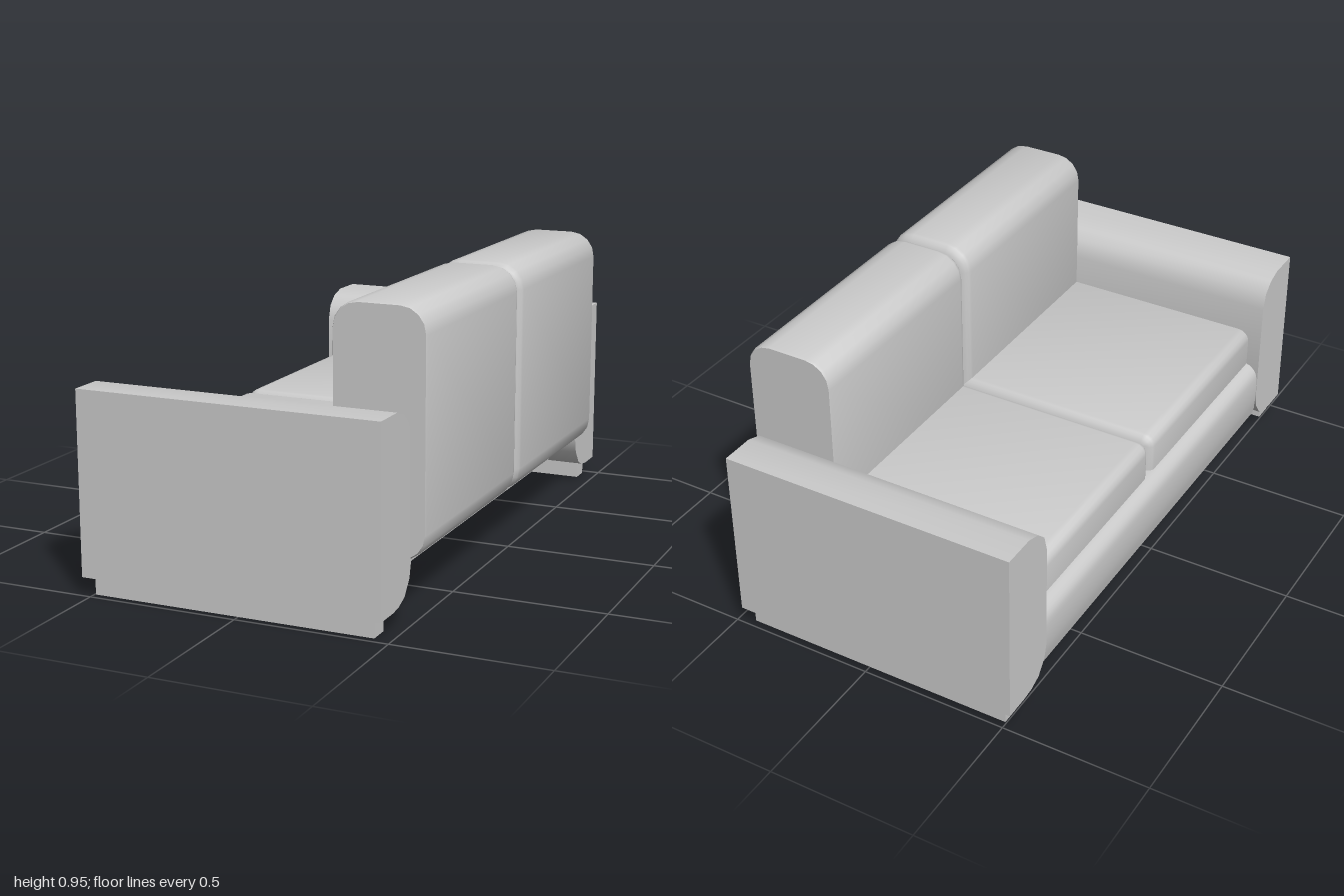
import * as THREE from 'three';
import { toCreasedNormals } from 'three/addons/utils/BufferGeometryUtils.js';

const grey = new THREE.MeshStandardMaterial({ color: 0xcccccc });
const sheet = new THREE.MeshStandardMaterial({ color: 0xcccccc, side: THREE.DoubleSide });

function addMesh(parent, name, geometry, material = grey) {
  const mesh = new THREE.Mesh(geometry, material);
  mesh.name = name;
  parent.add(mesh);
  return mesh;
}

// Counter-clockwise rounded rectangle, pulled inwards by inset
function roundedRect(b, inset, steps = 4) {
  const r = Math.max(b.r - inset, 0.012);
  const x0 = b.x0 + inset + r, x1 = b.x1 - inset - r;
  const y0 = b.y0 + inset + r, y1 = b.y1 - inset - r;
  const points = [];
  [[x1, y0], [x1, y1], [x0, y1], [x0, y0]].forEach(([cx, cy], k) => {
    for (let i = 0; i <= steps; i++) {
      const a = (k - 1 + i / steps) * Math.PI / 2;
      points.push([cx + r * Math.cos(a), cy + r * Math.sin(a)]);
    }
  });
  return points;
}

// Cushion lofted along z: soft edge at the centre seam, nearly sharp edge at the arm
function cushion(b, side) {
  const inner = 0.001, outer = 0.787, bevel = 0.034, depth = 0.055;
  const rings = [];
  for (let i = 0; i <= 5; i++) {
    const a = i / 5 * Math.PI / 2;
    rings.push([inner + bevel * (1 - Math.cos(a)), depth * (1 - Math.sin(a))]);
  }
  rings.push([outer - 0.008, 0], [outer, 0.004]);
  if (side < 0) rings.reverse();

  const pos = [];
  const loops = rings.map(([z, inset]) =>
    roundedRect(b, inset).map(([x, y]) => [x, y, z * side]));
  const n = loops[0].length;
  const last = loops.length - 1;
  const centre = (loop) => [(b.x0 + b.x1) / 2, (b.y0 + b.y1) / 2, loop[0][2]];
  for (let j = 0; j < n; j++) {
    const k = (j + 1) % n;
    for (let i = 0; i < last; i++) {
      const p = loops[i], q = loops[i + 1];
      pos.push(...p[j], ...p[k], ...q[k], ...p[j], ...q[k], ...q[j]);
    }
    pos.push(...centre(loops[0]), ...loops[0][k], ...loops[0][j]);
    pos.push(...centre(loops[last]), ...loops[last][j], ...loops[last][k]);
  }
  const g = new THREE.BufferGeometry();
  g.setAttribute('position', new THREE.Float32BufferAttribute(pos, 3));
  return toCreasedNormals(g, 0.6);
}

// Thin panel running along z, following points in the x-y plane
function panel(points, length) {
  const g = new THREE.PlaneGeometry(1, 1, 1, points.length - 1);
  const p = g.attributes.position;
  for (let i = 0; i < p.count; i++) {
    const [x, y] = points[Math.floor(i / 2)];
    p.setXYZ(i, x, y, (i % 2 - 0.5) * length);
  }
  g.computeVertexNormals();
  return g;
}

// Arm block with rounded inner edges
function armGeometry() {
  const s = new THREE.Shape([
    [1, 0.06], [1, 0.655], [0.885, 0.655], [0.832, 0.638], [0.796, 0.605], [0.78, 0.55],
    [0.778, 0.18], [0.79, 0.13], [0.826, 0.083], [0.87, 0.065], [0.91, 0.06],
  ].map(([z, y]) => new THREE.Vector2(z, y)));
  const g = new THREE.ExtrudeGeometry(s, { depth: 1.003, bevelEnabled: false });
  g.translate(0, 0, -0.5015);
  g.rotateY(-Math.PI / 2);
  return toCreasedNormals(g, 0.6);
}

export function createModel() {
  const sofa = new THREE.Group();
  sofa.name = 'sofa';

  // Arms, each standing on a long foot rail
  const armGeo = armGeometry();
  for (const side of [1, -1]) {
    const arm = new THREE.Group();
    arm.name = side > 0 ? 'leftArm' : 'rightArm';
    addMesh(arm, 'armBlock', armGeo);
    addMesh(arm, 'footRail', new THREE.BoxGeometry(0.94, 0.06, 0.065)).position.set(0, 0.03, 0.942);
    arm.position.x = -0.0255;
    if (side < 0) arm.rotation.y = Math.PI;
    sofa.add(arm);
  }

  // Seat and back cushions, one pair on each side of the seam
  const seat = { x0: -0.48, x1: 0.3, y0: 0.18, y1: 0.443, r: 0.04 };
  const back = { x0: 0.224, x1: 0.527, y0: 0.18, y1: 0.95, r: 0.085 };
  for (const side of [1, -1]) {
    const tag = side > 0 ? 'left' : 'right';
    addMesh(sofa, tag + 'SeatCushion', cushion(seat, side));
    addMesh(sofa, tag + 'BackCushion', cushion(back, side));
  }

  // Curved front panel below the seat
  const curve = new THREE.CatmullRomCurve3([
    [-0.455, 0.31], [-0.49, 0.305], [-0.517, 0.28], [-0.525, 0.235], [-0.523, 0.16], [-0.51, 0.09],
  ].map(([x, y]) => new THREE.Vector3(x, y, 0)));
  addMesh(sofa, 'frontPanel', panel(curve.getPoints(14).map((v) => [v.x, v.y]), 1.6), sheet);

  // Upright rail below the back cushions
  addMesh(sofa, 'backRail', panel([[0.37, 0.22], [0.37, 0.09]], 1.6), sheet);

  return sofa;
}
